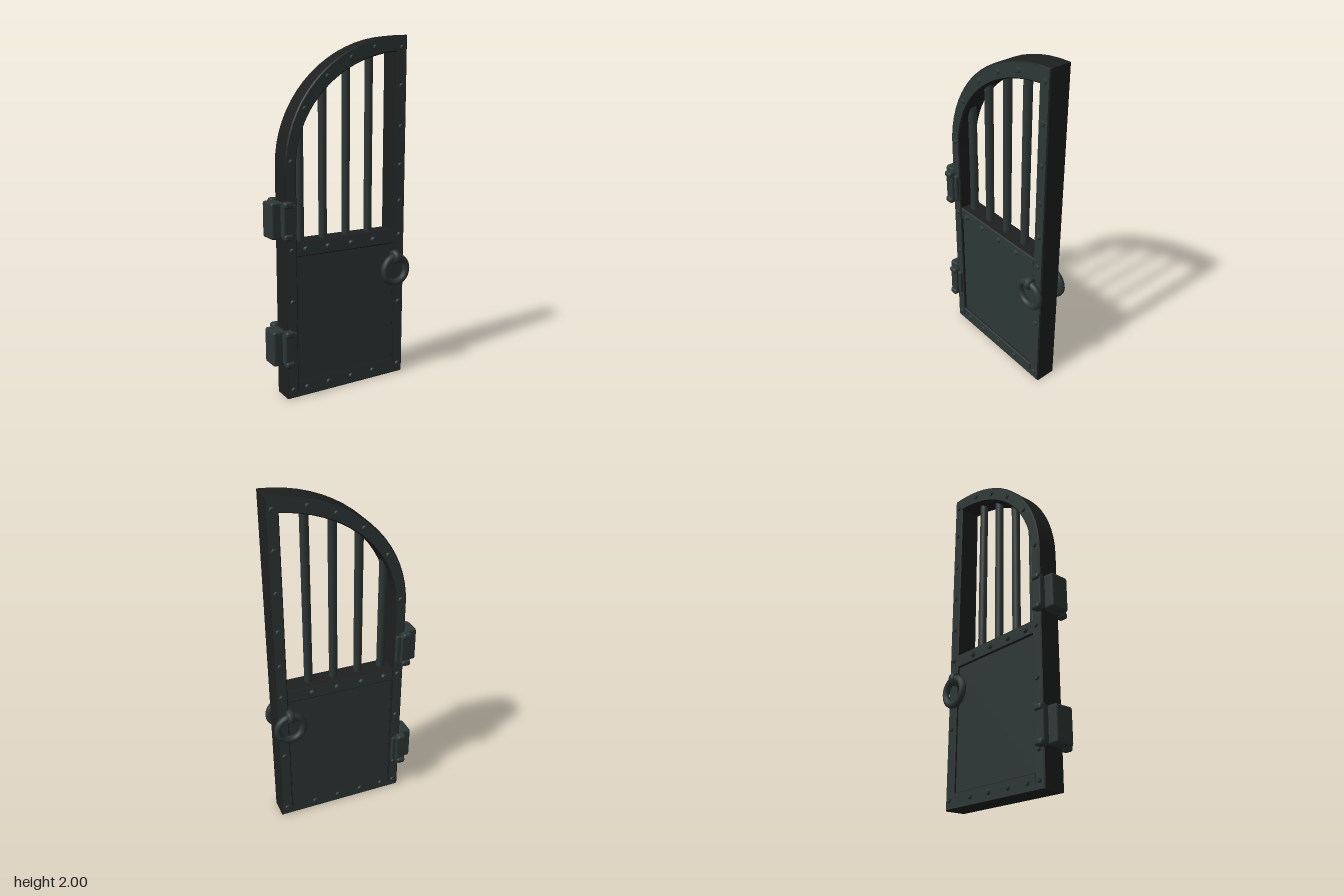
import * as THREE from 'three';
import { RoundedBoxGeometry } from 'three/addons/geometries/RoundedBoxGeometry.js';

const iron = new THREE.MeshStandardMaterial({ color: 0x2c3735 });
iron.name = 'dark green iron';
const edge = new THREE.MeshStandardMaterial({ color: 0x1e1f1f });
edge.name = 'blackened edge';

// Door outline: left and right stile, and the quarter ellipse of the arch
const CX = 0.415, CY = 1.3, LEFT = -0.36, IN_LEFT = -0.295, IN_RIGHT = 0.345;
const archY = (x, rx, ry) => CY + ry * Math.sqrt(Math.max(0, 1 - ((CX - x) / rx) ** 2));

function add(parent, name, geometry, material, x = 0, y = 0, z = 0) {
  const mesh = new THREE.Mesh(geometry, material);
  mesh.name = name;
  mesh.position.set(x, y, z);
  parent.add(mesh);
  return mesh;
}

function rectangle(x0, y0, x1, y1) {
  return [[x0, y0], [x1, y0], [x1, y1], [x0, y1]].map(p => new THREE.Vector2(...p));
}

// Extruded slab centred on z = 0, with a small bevel inside its outline
function slab(shape, halfDepth, bevel = 0.006) {
  const g = new THREE.ExtrudeGeometry(shape, {
    depth: 2 * (halfDepth - bevel), bevelEnabled: true, bevelThickness: bevel,
    bevelSize: bevel, bevelOffset: -bevel, bevelSegments: 1, curveSegments: 12,
  });
  return g.translate(0, 0, bevel - halfDepth);
}

function archPoints(rx, ry, xEnd) {
  const end = Math.acos((CX - xEnd) / rx), points = [];
  for (let i = 0; i <= 18; i++) {
    const a = end * i / 18;
    points.push(new THREE.Vector2(CX - rx * Math.cos(a), CY + ry * Math.sin(a)));
  }
  return points;
}

function buildFrame(door) {
  const outline = new THREE.Shape([
    new THREE.Vector2(CX, 0), new THREE.Vector2(CX, 2),
    ...archPoints(CX - LEFT, 0.7, CX - 0.01).reverse(), new THREE.Vector2(LEFT, 0),
  ]);
  outline.holes.push(new THREE.Path([
    new THREE.Vector2(IN_LEFT, 0.04), ...archPoints(CX - IN_LEFT, 0.61, IN_RIGHT),
    new THREE.Vector2(IN_RIGHT, 0.04),
  ]));
  add(door, 'archedFrame', slab(outline, 0.066), [iron, edge]);

  // Rails and the recessed lower panel
  const rails = [['middleRail', 0.81, 0.89, 0.062], ['bottomRail', 0.005, 0.09, 0.0655],
    ['lowerPanel', 0.08, 0.82, 0.052]];
  for (const [name, y0, y1, half] of rails) {
    const shape = new THREE.Shape(rectangle(IN_LEFT - 0.005, y0, IN_RIGHT + 0.005, y1));
    add(door, name, slab(shape, half), [iron, edge]);
  }
}

function buildBars(door) {
  for (const x of [-0.245, -0.1, 0.05, 0.2]) {
    const top = archY(x, CX - IN_LEFT, 0.61) + 0.03, height = top - 0.87;
    add(door, 'windowBar', new THREE.CylinderGeometry(0.024, 0.024, height, 10), iron, x, 0.87 + height / 2);
  }
}

function buildRivets(door) {
  const spots = [];
  for (const y of [0.055, 0.45, 0.86, 1.06, 1.27, 1.49, 1.72, 1.93]) spots.push([0.38, y]);
  for (const y of [0.05, 0.2, 0.56, 0.85, 1.33]) spots.push([-0.326, y]);
  for (const x of [-0.24, -0.1, 0.05, 0.2]) {
    spots.push([x, 0.05], [x, 0.85]);
    spots.push([x, (archY(x, CX - LEFT, 0.7) + archY(x, CX - IN_LEFT, 0.61)) / 2]);
  }
  const head = new THREE.CylinderGeometry(0.012, 0.02, 0.02, 8);
  for (const side of [1, -1]) {
    for (const [x, y] of spots) {
      add(door, 'rivet', head, iron, x, y, side * 0.066).rotation.x = side * Math.PI / 2;
    }
  }
}

function buildHinge(door, y) {
  const hinge = new THREE.Group();
  hinge.name = 'hinge';
  hinge.position.y = y;
  door.add(hinge);
  add(hinge, 'hingeBarrel', new RoundedBoxGeometry(0.08, 0.2, 0.118, 1, 0.014), iron, -0.402, 0, 0);
  add(hinge, 'hingeBack', new THREE.BoxGeometry(0.025, 0.19, 0.14), edge, -0.371, 0, 0);
  for (const side of [1, -1]) {
    // Leaf clasping the stile, with a rounded fold and end knobs
    add(hinge, 'hingeLeaf', new RoundedBoxGeometry(0.06, 0.18, 0.045, 1, 0.01), iron, -0.36, 0, side * 0.075);
    add(hinge, 'hingeLip', new RoundedBoxGeometry(0.03, 0.17, 0.03, 1, 0.008), iron, -0.321, 0, side * 0.069);
    for (const end of [1, -1]) {
      add(hinge, 'hingeKnob', new RoundedBoxGeometry(0.054, 0.036, 0.05, 2, 0.014), iron,
        -0.361, end * 0.087, side * 0.085);
    }
  }
}

function buildHandle(door, side) {
  const handle = new THREE.Group();
  handle.name = side > 0 ? 'frontHandle' : 'backHandle';
  handle.position.set(0.342, 0, side * 0.086);
  door.add(handle);
  add(handle, 'ring', new THREE.TorusGeometry(0.077, 0.021, 10, 28), iron, 0, 0.656, 0);
  const staple = add(handle, 'staple', new THREE.TorusGeometry(0.025, 0.018, 8, 14), iron, 0, 0.733, -side * 0.005);
  staple.rotation.y = Math.PI / 2;
  staple.scale.z = 1.2;
}

export function createModel() {
  const door = new THREE.Group();
  door.name = 'archedIronDoor';
  buildFrame(door);
  buildBars(door);
  buildRivets(door);
  for (const y of [0.305, 1.02]) buildHinge(door, y);
  for (const side of [1, -1]) buildHandle(door, side);
  return door;
}
